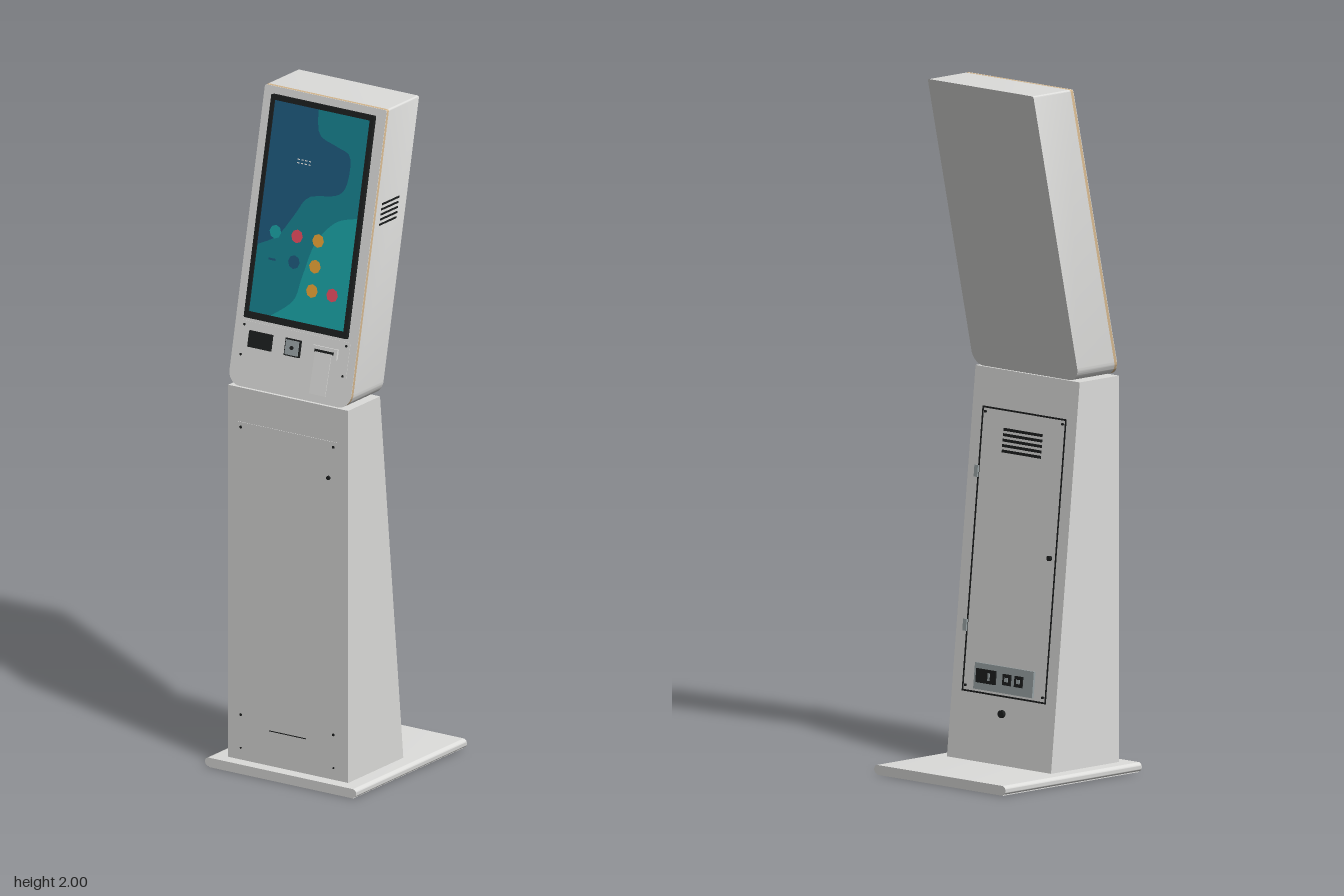
import * as THREE from 'three';
import { toCreasedNormals } from 'three/addons/utils/BufferGeometryUtils.js';

const mat = (name, color) => {
  const m = new THREE.MeshStandardMaterial({ color });
  m.name = name;
  return m;
};

export function createModel() {
  const M = {
    body: mat('light grey', 0xdcdcda),
    black: mat('black', 0x1c1e1e),
    metal: mat('metal grey', 0x98a2a4),
    tan: mat('tan edge', 0xd3b68e),
    navy: mat('screen navy', 0x1d587c),
    teal: mat('screen teal', 0x16808d),
    bright: mat('screen bright teal', 0x19a0a3),
    red: mat('icon red', 0xe84c60),
    orange: mat('icon orange', 0xf0a838),
    white: mat('white', 0xeeeeea),
  };
  const model = new THREE.Group();
  model.name = 'kiosk';

  const add = (parent, name, geo, m, x = 0, y = 0, z = 0) => {
    const mesh = new THREE.Mesh(geo, m);
    mesh.name = name;
    mesh.position.set(x, y, z);
    parent.add(mesh);
    return mesh;
  };
  const box = (p, name, m, x, y, z, w, h, d) => add(p, name, new THREE.BoxGeometry(w, h, d), m, x, y, z);
  const disc = (p, name, m, x, y, r, d = 0.006) =>
    add(p, name, new THREE.CylinderGeometry(r, r, d, 16).rotateX(Math.PI / 2), m, x, y, d / 2);
  // rectangle with separate lower and upper corner radii
  const roundRect = (w, y0, y1, rb, rt) => {
    const s = new THREE.Shape(), q = Math.PI / 2;
    s.absarc(w - rb, y0 + rb, rb, -q, 0);
    s.absarc(w - rt, y1 - rt, rt, 0, q);
    s.absarc(-w + rt, y1 - rt, rt, q, 2 * q);
    s.absarc(-w + rb, y0 + rb, rb, 2 * q, 3 * q);
    return s;
  };

  // floor plate with rounded long edges
  const plate = new THREE.ExtrudeGeometry(roundRect(0.262, 0.003, 0.029, 0.0125, 0.0125),
    { depth: 0.556, bevelEnabled: false, curveSegments: 6 });
  add(model, 'basePlate', toCreasedNormals(plate, 0.6), M.body, 0, 0, -0.278);
  box(model, 'basePad', M.body, 0, 0.003, 0, 0.5, 0.006, 0.552);

  // column, tapered towards the top
  const KNEE = 1.148;
  const side = new THREE.Shape([[0.24, 0.028], [0.24, KNEE], [0.08, KNEE], [-0.037, 0.028]]
    .map(([z, y]) => new THREE.Vector2(z, y)));
  const column = new THREE.ExtrudeGeometry(side, { depth: 0.416, bevelEnabled: false });
  add(model, 'column', column.rotateY(-Math.PI / 2), M.body, 0.208);

  // leaning head: slices of one outline, sheared backwards
  const LEAN = 0.188 / 0.852;
  const slice = (name, m, zBack, depth) => {
    const g = new THREE.ExtrudeGeometry(roundRect(0.211, KNEE + 0.003, 2, 0.04, 0.006),
      { depth, bevelEnabled: false, curveSegments: 10 });
    const p = g.attributes.position;
    for (let i = 0; i < p.count; i++) p.setZ(i, p.getZ(i) + zBack - (p.getY(i) - KNEE) * LEAN);
    g.computeVertexNormals();
    add(model, name, toCreasedNormals(g, 0.5), m);
  };
  slice('headShell', M.body, 0.076, 0.151);
  slice('edgeBand', M.tan, 0.227, 0.01);
  slice('headFront', M.body, 0.237, 0.0015);

  // frame lying on the head front
  const tilt = Math.atan(LEAN);
  const face = new THREE.Group();
  face.name = 'headFittings';
  face.position.set(0, KNEE, 0.2385);
  face.rotation.x = -tilt;
  model.add(face);
  const fy = (y) => (y - KNEE) / Math.cos(tilt);

  // screen bezel
  const bezel = roundRect(0.178, fy(1.346), fy(1.979), 0.004, 0.004);
  bezel.holes.push(roundRect(0.165, fy(1.365), fy(1.964), 0.002, 0.002));
  add(face, 'bezel', new THREE.ExtrudeGeometry(bezel, { depth: 0.012, bevelEnabled: false }), M.black);

  // screen picture: flat layers; the first `curved` points form a smooth boundary
  const art = (name, m, pts, z, curved = 0) => {
    let v = pts.map(([x, y]) => new THREE.Vector2(x, fy(y)));
    if (curved) v = [...new THREE.SplineCurve(v.slice(0, curved)).getPoints(32), ...v.slice(curved)];
    add(face, name, new THREE.ShapeGeometry(new THREE.Shape(v)), m, 0, 0, z);
  };
  art('screen', M.teal, [[-0.166, 1.364], [0.166, 1.364], [0.166, 1.965], [-0.166, 1.965]], 0.007);
  art('screenDarkArea', M.navy, [[-0.165, 1.555], [-0.1, 1.59], [-0.05, 1.66], [-0.01, 1.715], [0.08, 1.735],
    [0.112, 1.77], [0.112, 1.85], [0.06, 1.872], [0.0, 1.895], [-0.015, 1.964], [-0.165, 1.964]], 0.008, 10);
  art('screenBrightArea', M.bright, [[-0.09, 1.365], [-0.02, 1.42], [0.0, 1.49], [0.03, 1.59],
    [0.09, 1.66], [0.165, 1.685], [0.165, 1.365]], 0.008, 6);

  // screen icons and marks
  const icons = [[-0.108, 1.6, 'bright'], [-0.033, 1.6, 'red'], [0.04, 1.6, 'orange'],
    [-0.033, 1.527, 'navy'], [0.04, 1.527, 'orange'],
    [0.04, 1.458, 'orange'], [0.11, 1.458, 'red']];
  for (const [x, y, c] of icons)
    add(face, 'icon', new THREE.CircleGeometry(0.02, 8), M[c], x, fy(y), 0.0092);
  box(face, 'iconMark', M.navy, -0.108, fy(1.522), 0.0088, 0.024, 0.006, 0.001);
  for (let i = 0; i < 4; i++)
    for (const y of [1.804, 1.814])
      box(face, 'screenMark', M.white, -0.06 + i * 0.013, fy(y), 0.0088, 0.007, 0.003, 0.001);

  // service strip with scanner, card reader and printer
  box(face, 'serviceStrip', M.body, 0, fy(1.285), 0.0005, 0.374, 0.105, 0.002);
  for (const x of [-0.178, 0.175])
    for (const y of [1.325, 1.24]) disc(face, 'stripScrew', M.black, x, fy(y), 0.0035, 0.004);
  box(face, 'scanner', M.black, -0.115, fy(1.289), 0.005, 0.078, 0.047, 0.012);
  box(face, 'cardReader', M.black, -0.003, fy(1.289), 0.004, 0.052, 0.05, 0.01);
  box(face, 'cardReaderFace', M.metal, -0.003, fy(1.289), 0.0095, 0.045, 0.043, 0.003);
  disc(face, 'cardReaderSensor', M.black, -0.003, fy(1.289), 0.006, 0.013);
  box(face, 'printerMouth', M.body, 0.107, fy(1.296), 0.004, 0.088, 0.03, 0.01);
  box(face, 'printerSlot', M.black, 0.107, fy(1.297), 0.0095, 0.066, 0.008, 0.002);
  box(face, 'paper', M.body, 0.107, fy(1.235), 0.015, 0.056, 0.122, 0.002).rotation.x = -0.04;

  // side vents on the left
  for (let i = 0; i < 5; i++)
    box(model, 'sideVent', M.black, 0.211, 1.725 - i * 0.0145, 0.033 + i * 0.0033, 0.004, 0.0055, 0.085);

  // front door of the column
  const front = new THREE.Group();
  front.name = 'frontDoor';
  front.position.z = 0.24;
  model.add(front);
  box(front, 'doorPanel', M.body, 0, 0.565, 0, 0.35, 0.96, 0.003);
  for (const x of [-0.163, 0.158])
    for (const y of [1.03, 0.165, 0.065]) disc(front, 'doorScrew', M.black, x, y, y < 0.1 ? 0.0025 : 0.004, 0.004);
  disc(front, 'doorLock', M.black, 0.142, 0.935, 0.006, 0.007);
  box(front, 'doorHandle', M.body, 0, 0.1265, 0.002, 0.127, 0.017, 0.003);
  box(front, 'handleSlot', M.black, 0, 0.135, 0.002, 0.127, 0.002, 0.004);

  // rear door, in a frame lying on the sloping back
  const slope = Math.atan(0.117 / 1.12);
  const rear = new THREE.Group();
  rear.name = 'rearDoor';
  rear.position.set(0, KNEE, 0.08);
  rear.rotation.set(-slope, Math.PI, 0, 'YXZ');
  model.add(rear);
  const ry = (y) => (y - KNEE) / Math.cos(slope);
  const [top, bottom] = [ry(1.035), ry(0.225)];
  for (const y of [top, bottom]) box(rear, 'rearGroove', M.black, 0, y, 0.0005, 0.335, 0.005, 0.002);
  for (const x of [-0.165, 0.165])
    box(rear, 'rearGroove', M.black, x, (top + bottom) / 2, 0.0005, 0.005, top - bottom, 0.002);
  for (const x of [-0.154, 0.154])
    for (const y of [1.022, 0.24]) disc(rear, 'rearScrew', M.black, x, ry(y), 0.004, 0.004);
  for (const y of [0.85, 0.41]) box(rear, 'hinge', M.metal, -0.17, ry(y), 0.003, 0.014, 0.034, 0.008);
  disc(rear, 'rearLock', M.black, 0.143, ry(0.637), 0.0075, 0.009);

  // rear vents: long slots
  for (let r = 0; r < 5; r++)
    box(rear, 'rearVent', M.black, 0, ry(0.98 - r * 0.0155), 0.001, 0.155, 0.008, 0.003);

  // connector panel and cable outlet
  box(rear, 'connectorPanel', M.metal, 0, ry(0.272), 0.003, 0.235, 0.076, 0.008);
  box(rear, 'powerInlet', M.black, -0.068, ry(0.274), 0.007, 0.078, 0.04, 0.008);
  box(rear, 'powerInletCore', M.metal, -0.055, ry(0.274), 0.0115, 0.008, 0.022, 0.002);
  for (const x of [0.015, 0.062]) {
    box(rear, 'socket', M.black, x, ry(0.274), 0.007, 0.032, 0.032, 0.008);
    box(rear, 'socketCore', M.metal, x, ry(0.274), 0.0115, 0.014, 0.012, 0.002);
  }
  disc(rear, 'cableOutlet', M.black, 0, ry(0.175), 0.011, 0.01);

  return model;
}
